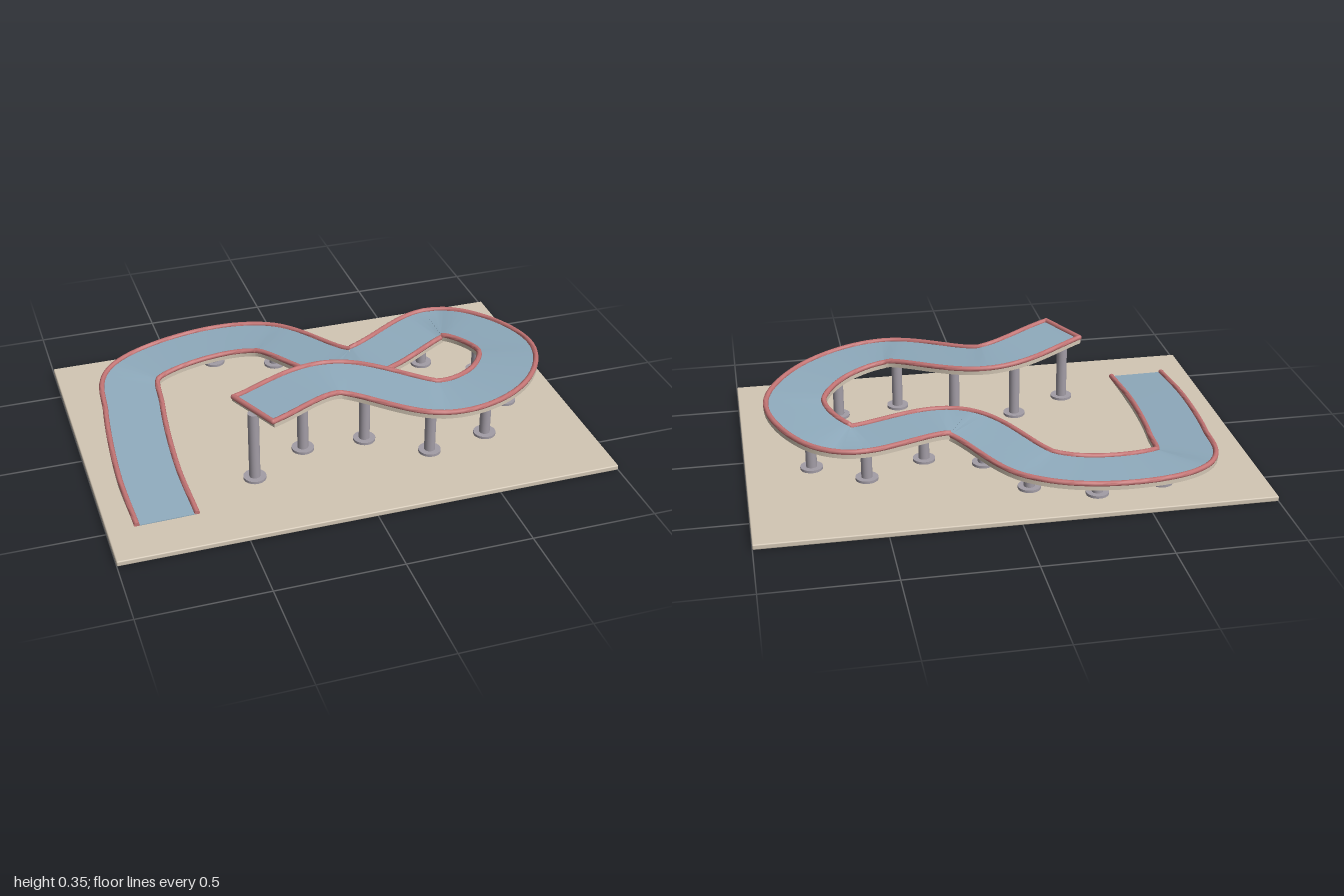
import * as THREE from 'three';
import { toCreasedNormals } from 'three/addons/utils/BufferGeometryUtils.js';
import { RoundedBoxGeometry } from 'three/addons/geometries/RoundedBoxGeometry.js';

const BASE_TOP = 0.022, STEPS = 200, RAIL_R = 0.011, RAIL_X = 0.116;

// Plan of the track centre line (x, z), from the high start to the low exit
const PLAN = [
  [-0.385, 0.345], [-0.01, 0.175], [0.375, 0.39], [0.63, 0.295], [0.78, 0.06],
  [0.72, -0.17], [0.6, -0.275], [0.165, -0.125], [-0.115, -0.49], [-0.39, -0.545],
  [-0.695, -0.44], [-0.745, -0.2], [-0.777, 0.2], [-0.77, 0.51],
];
const path = new THREE.CatmullRomCurve3(PLAN.map(([x, z]) => new THREE.Vector3(x, 0, z)));
path.arcLengthDivisions = 1000;

// Point on the track: u along it, a sideways, b above or below the rail top
function trackPoint(u, a, b) {
  const p = path.getPointAt(u), t = path.getTangentAt(u);
  return new THREE.Vector3(p.x - t.z * a, THREE.MathUtils.lerp(0.35, 0.037, u) + b, p.z + t.x * a);
}

// Sweeps a convex counter-clockwise section [a, b] along the track, with end caps
function sweep(section, crease) {
  const n = section.length, pos = [], idx = [];
  for (let i = 0; i <= STEPS; i++) {
    for (const [a, b] of section) pos.push(...trackPoint(i / STEPS, a, b).toArray());
  }
  for (let i = 0; i < STEPS; i++) {
    for (let k = 0; k < n; k++) {
      const p = i * n + k, q = i * n + (k + 1) % n;
      idx.push(p, p + n, q + n, p, q + n, q);
    }
  }
  const end = STEPS * n;
  for (let k = 1; k < n - 1; k++) idx.push(0, k, k + 1, end, end + k + 1, end + k);
  const geo = new THREE.BufferGeometry();
  geo.setAttribute('position', new THREE.Float32BufferAttribute(pos, 3));
  geo.setIndex(idx);
  return toCreasedNormals(geo, crease);
}

const slab = (half, bottom, top) => [[-half, bottom], [half, bottom], [half, top], [-half, top]];

export function createModel() {
  const model = new THREE.Group();
  const mat = (color) => new THREE.MeshStandardMaterial({ color });
  const sand = mat(0xd2c6b4), blue = mat(0x8fabbd), red = mat(0xc27474), grey = mat(0xa39da6);
  const add = (name, geo, material, parent = model) => {
    const mesh = new THREE.Mesh(geo, material);
    mesh.name = name;
    parent.add(mesh);
    return mesh;
  };

  // Ground board
  add('baseBoard', new RoundedBoxGeometry(2, BASE_TOP, 1.4, 2, 0.005), sand).position.y = BASE_TOP / 2;

  // Track bed and its coloured running surface
  add('trackBed', sweep(slab(0.125, -0.034, -0.015), 0.6), sand);
  add('trackSurface', sweep(slab(0.112, -0.02, -0.012), 0.6), blue);

  // Round rails along both edges
  for (const side of [-1, 1]) {
    const ring = [];
    for (let k = 0; k < 10; k++) {
      const t = (k / 10) * Math.PI * 2;
      ring.push([side * RAIL_X + RAIL_R * Math.cos(t), -RAIL_R + RAIL_R * Math.sin(t)]);
    }
    add(side < 0 ? 'railA' : 'railB', sweep(ring, 1.0), red);
  }

  // Cross rail closing the high end, with rounded corners
  const c0 = trackPoint(0, -RAIL_X, -RAIL_R), c1 = trackPoint(0, RAIL_X, -RAIL_R);
  add('startRail', new THREE.TubeGeometry(new THREE.LineCurve3(c0, c1), 1, RAIL_R, 10), red);
  for (const c of [c0, c1]) {
    add('startRailCorner', new THREE.SphereGeometry(RAIL_R, 12, 8), red).position.copy(c);
  }

  // Evenly spaced pillars with round feet, ending where the track nears the board
  for (let i = 0; i <= 12; i++) {
    const top = trackPoint(i / 16, 0, -0.03);
    const pillar = new THREE.Group();
    pillar.name = 'pillar';
    pillar.position.set(top.x, 0, top.z);
    const h = top.y - BASE_TOP;
    add('pillarShaft', new THREE.CylinderGeometry(0.022, 0.022, h, 20), grey, pillar).position.y = BASE_TOP + h / 2;
    add('pillarFoot', new THREE.CylinderGeometry(0.045, 0.045, 0.011, 24), grey, pillar).position.y = BASE_TOP + 0.005;
    model.add(pillar);
  }
  return model;
}
